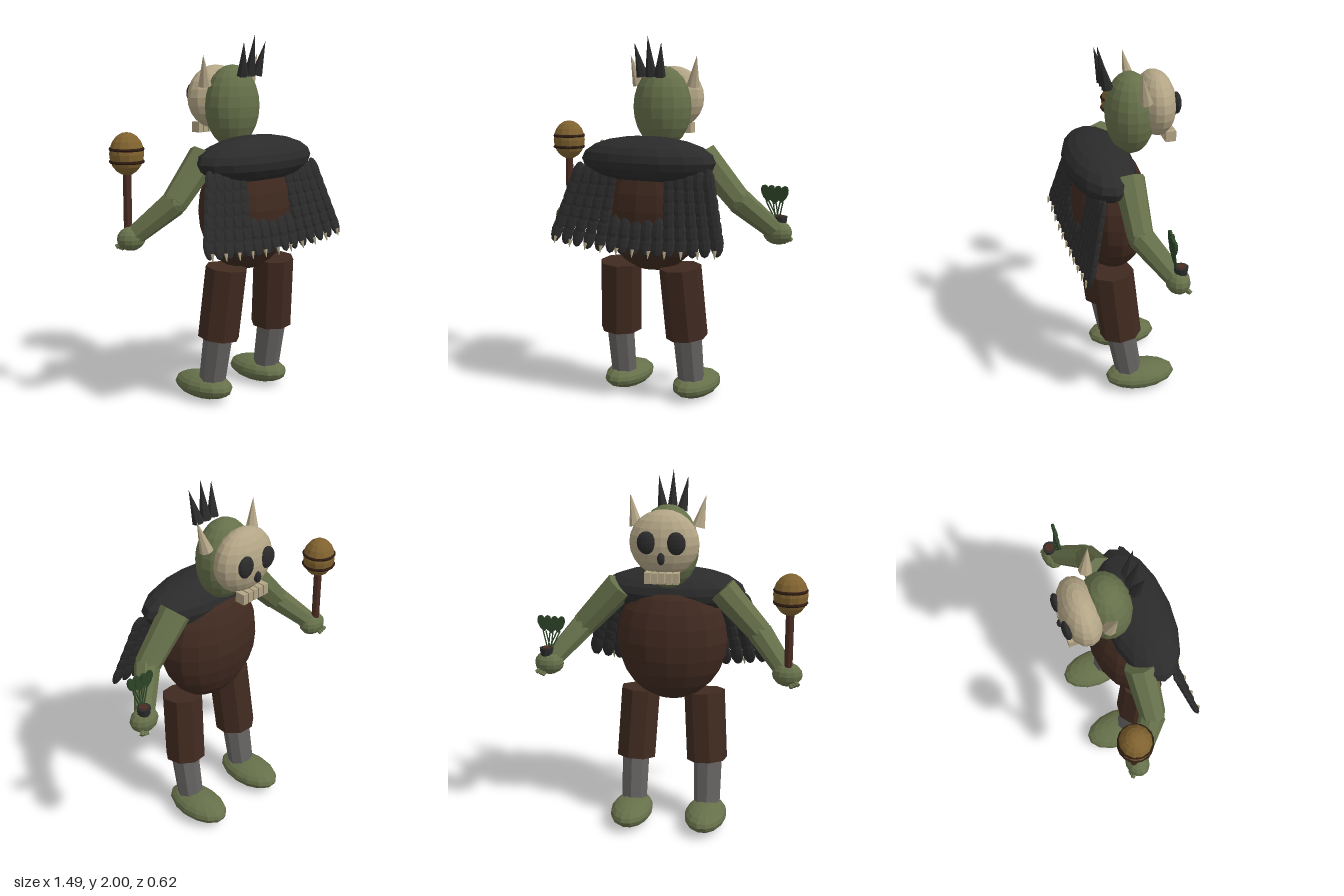
import * as THREE from 'three';

const mat = (name, color) => new THREE.MeshStandardMaterial({ name, color, flatShading: true });
const M = {
  skin: mat('green skin', 0x66704a),
  cloth: mat('brown cloth', 0x402a20),
  shin: mat('grey wrap', 0x656361),
  dark: mat('black feather', 0x2b2b2c),
  bone: mat('bone', 0xb3a586),
  gourd: mat('gourd', 0x80622f),
  wood: mat('wood', 0x4a2c22),
  band: mat('dark band', 0x2e1c12),
  leaf: mat('leaf green', 0x2c4428),
};
const V = (x, y, z) => new THREE.Vector3(x, y, z);

export function createModel() {
  const root = new THREE.Group();
  root.name = 'maskedShaman';

  const add = (name, geo, material, parent = root) => {
    const m = new THREE.Mesh(geo, material);
    m.name = name;
    parent.add(m);
    return m;
  };
  const group = (name) => {
    const g = new THREE.Group();
    g.name = name;
    root.add(g);
    return g;
  };
  // Ellipsoid from centre and radii
  const ball = (name, c, r, material, parent, w = 14, h = 10) => {
    const m = add(name, new THREE.SphereGeometry(1, w, h), material, parent);
    m.position.copy(c);
    m.scale.set(...r);
    return m;
  };
  // Tapered cylinder from point a to point b
  const limb = (name, a, b, ra, rb, material, parent, seg = 8) => {
    const d = b.clone().sub(a);
    const m = add(name, new THREE.CylinderGeometry(rb, ra, d.length(), seg), material, parent);
    m.position.copy(a).addScaledVector(d, 0.5);
    m.quaternion.setFromUnitVectors(V(0, 1, 0), d.normalize());
    return m;
  };

  // Torso and fur collar
  ball('torso', V(0, 1.075, 0.06), [0.31, 0.35, 0.205], M.cloth, root, 16, 12);
  ball('collar', V(0, 1.34, 0.12), [0.4, 0.13, 0.185], M.dark, root, 16, 10);

  // Head, skull mask, crest
  const head = group('head');
  ball('face', V(0, 1.615, -0.055), [0.165, 0.225, 0.135], M.skin, head, 16, 12);
  ball('skullMask', V(0, 1.66, -0.19), [0.185, 0.175, 0.108], M.bone, head, 16, 12);
  ball('noseHole', V(0, 1.597, -0.293), [0.02, 0.033, 0.02], M.dark, head, 10, 8);
  for (let i = -2; i <= 2; i++) {
    add('tooth', new THREE.BoxGeometry(0.031, 0.058, 0.058), M.bone, head)
      .position.set(i * 0.037, 1.49, -0.257);
  }
  for (let i = -1; i <= 1; i++) {
    limb('crestSpike', V(i * 0.052, 1.785, 0.08), V(i * 0.08, i ? 1.965 : 2, 0.12), 0.032, 0, M.dark, head, 6);
  }

  for (const s of [-1, 1]) {
    ball('eyeSocket', V(s * 0.077, 1.677, -0.285), [0.05, 0.06, 0.025], M.dark, head, 12, 8);
    limb('horn', V(s * 0.165, 1.73, -0.095), V(s * 0.202, 1.895, -0.065), 0.037, 0, M.bone, head, 7);

    // Leg
    const leg = group(s > 0 ? 'leftLeg' : 'rightLeg');
    limb('thigh', V(s * 0.182, 0.765, 0.09), V(s * 0.205, 0.37, 0.05), 0.115, 0.115, M.cloth, leg);
    limb('shin', V(s * 0.208, 0.5, 0.073), V(s * 0.212, 0.08, 0), 0.083, 0.073, M.shin, leg);
    ball('foot', V(s * 0.214, 0.072, -0.063), [0.118, 0.07, 0.2], M.skin, leg);

    // Arm
    const arm = group(s > 0 ? 'leftArm' : 'rightArm');
    const elbow = V(s * 0.49, 1.14, 0.02);
    const hand = V(s * 0.655, 0.957, -0.13);
    limb('upperArm', V(s * 0.28, 1.37, 0.025), elbow, 0.085, 0.07, M.skin, arm);
    ball('elbow', elbow, [0.068, 0.068, 0.068], M.skin, arm, 8, 6);
    limb('forearm', elbow, hand, 0.07, 0.052, M.skin, arm);
    ball('hand', hand, [0.082, 0.065, 0.064], M.skin, arm, 12, 8);
    for (let i = -1; i <= 1; i++) {
      limb('finger', hand, V(s * (0.7 + i * 0.018), 0.905 + i * 0.008, -0.18), 0.014, 0.012, M.skin, arm, 6);
    }
  }

  // Feather cape: shingled rows with an opening below the collar
  const cape = group('featherCape');
  const feather = new THREE.SphereGeometry(1, 8, 6);
  const ROWS = 6, COLS = 15;
  for (let r = 0; r < ROWS; r++) {
    for (let c = 0; c < COLS; c++) {
      const u = (c / (COLS - 1)) * 2 - 1;
      const t = r / (ROWS - 1);
      const x = u * (0.395 + 0.085 * t);
      const y = 1.25 - 0.3 * t - 0.035 * (1 - u * u) * t;
      if (y > 1.04 && Math.abs(x) < 0.16) continue;
      const m = add('feather', feather, M.dark, cape);
      m.position.set(x, y, 0.2 + 0.075 * t);
      m.scale.set(0.037, 0.073, 0.018);
      m.rotation.set(-0.32, 0, u * 0.15);
    }
  }
  for (let i = -5; i <= 5; i++) {
    const x = i * 0.0955;
    const y = 0.915 - 0.035 * (1 - (i / 5) ** 2);
    limb('claw', V(x, y, 0.3), V(x * 1.01, y - 0.04, 0.31), 0.012, 0.002, M.bone, cape, 5);
  }

  // Gourd rattle in the right hand
  const rattle = group('rattle');
  limb('rattleHandle', V(-0.66, 0.93, -0.15), V(-0.66, 1.33, -0.15), 0.022, 0.022, M.wood, rattle);
  ball('gourd', V(-0.66, 1.4, -0.15), [0.092, 0.112, 0.088], M.gourd, rattle, 12, 10);
  for (const y of [1.425, 1.36]) {
    const band = add('gourdBand', new THREE.TorusGeometry(0.084, 0.009, 6, 18), M.band, rattle);
    band.position.set(-0.66, y, -0.15);
    band.rotation.x = Math.PI / 2;
  }

  // Small pot with heart-leaved sprouts in the left hand
  const plant = group('sproutPot');
  limb('pot', V(0.665, 0.98, -0.142), V(0.665, 1.045, -0.142), 0.03, 0.038, M.dark, plant, 10);
  limb('soil', V(0.665, 1.03, -0.142), V(0.665, 1.049, -0.142), 0.025, 0.025, M.wood, plant, 10);
  const heart = new THREE.Shape();
  heart.moveTo(0, -0.045);
  heart.bezierCurveTo(-0.05, -0.01, -0.045, 0.05, -0.018, 0.045);
  heart.quadraticCurveTo(-0.004, 0.042, 0, 0.026);
  heart.quadraticCurveTo(0.004, 0.042, 0.018, 0.045);
  heart.bezierCurveTo(0.045, 0.05, 0.05, -0.01, 0, -0.045);
  const leafGeo = new THREE.ExtrudeGeometry(heart, { depth: 0.014, bevelEnabled: false, curveSegments: 5 });
  for (let i = -1; i <= 1; i++) {
    const tip = V(0.646 + i * 0.04, 1.165 + (i ? 0.005 : -0.005), -0.108 + i * 0.005);
    add('leaf', leafGeo, M.leaf, plant).position.copy(tip);
    for (const k of [-0.008, 0.008]) {
      limb('stem', V(0.656 + k, 1.02, -0.12), V(tip.x + k, 1.13, -0.1), 0.004, 0.004, M.leaf, plant, 5);
    }
  }
  return root;
}
